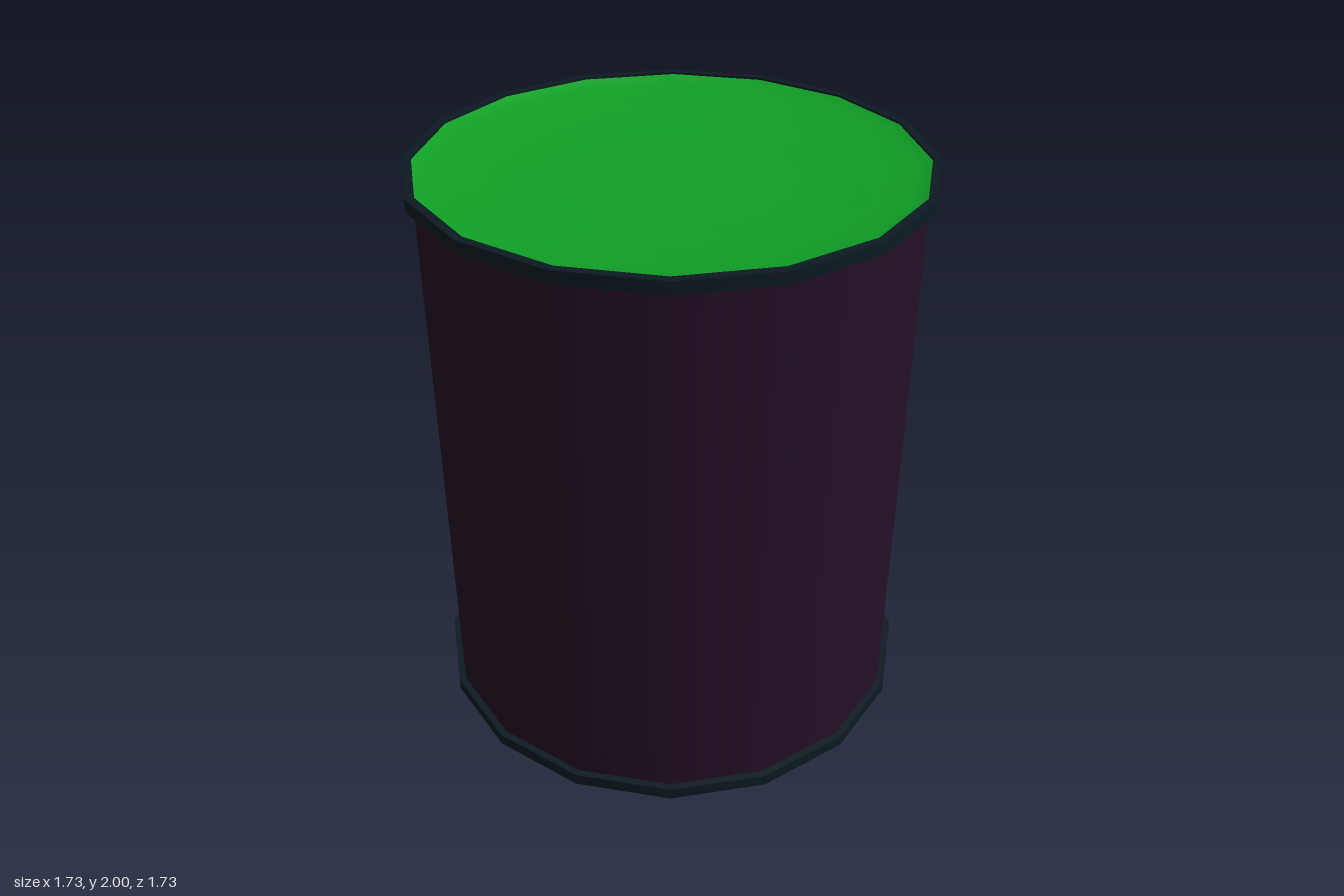
import * as THREE from 'three';
import { toCreasedNormals } from 'three/addons/utils/BufferGeometryUtils.js';

const SIDES = 16;
const material = (color) => new THREE.MeshStandardMaterial({ color });

function lathe(name, profile, mat, creased) {
  const points = profile.map(([r, y]) => new THREE.Vector2(r, y));
  let geometry = new THREE.LatheGeometry(points, SIDES);
  if (creased) geometry = toCreasedNormals(geometry, Math.PI / 6);
  const mesh = new THREE.Mesh(geometry, mat);
  mesh.name = name;
  return mesh;
}

export function createModel() {
  const model = new THREE.Group();
  model.name = 'can';
  const wallMat = material(0x241026);
  const rimMat = material(0x0c1a22);
  const lidMat = material(0x10a026);

  // Side wall, heights measured from the middle of the can
  const wall = lathe('wall', [[0.84, -0.97], [0.84, 0.97]], wallMat, false);
  wall.position.y = 1;
  model.add(wall);

  // Each end: a raised rim and a lid stepping down toward the centre
  const rimProfile = [[0.835, 0.957], [0.865, 0.957], [0.865, 1], [0.835, 1], [0.835, 0.985]];
  const lidProfile = [
    [0.836, 0.993], [0.79, 0.975], [0.72, 0.972],
    [0.69, 0.96], [0.62, 0.96],
    [0.58, 0.946], [0.49, 0.948],
    [0.44, 0.936], [0.36, 0.938], [0, 0.938],
  ];
  for (const side of ['top', 'bottom']) {
    const end = new THREE.Group();
    end.name = side + 'End';
    end.add(lathe(side + 'Rim', rimProfile, rimMat, true));
    end.add(lathe(side + 'Lid', lidProfile, lidMat, false));
    end.position.y = 1;
    if (side === 'bottom') end.rotation.x = Math.PI;
    model.add(end);
  }
  return model;
}
